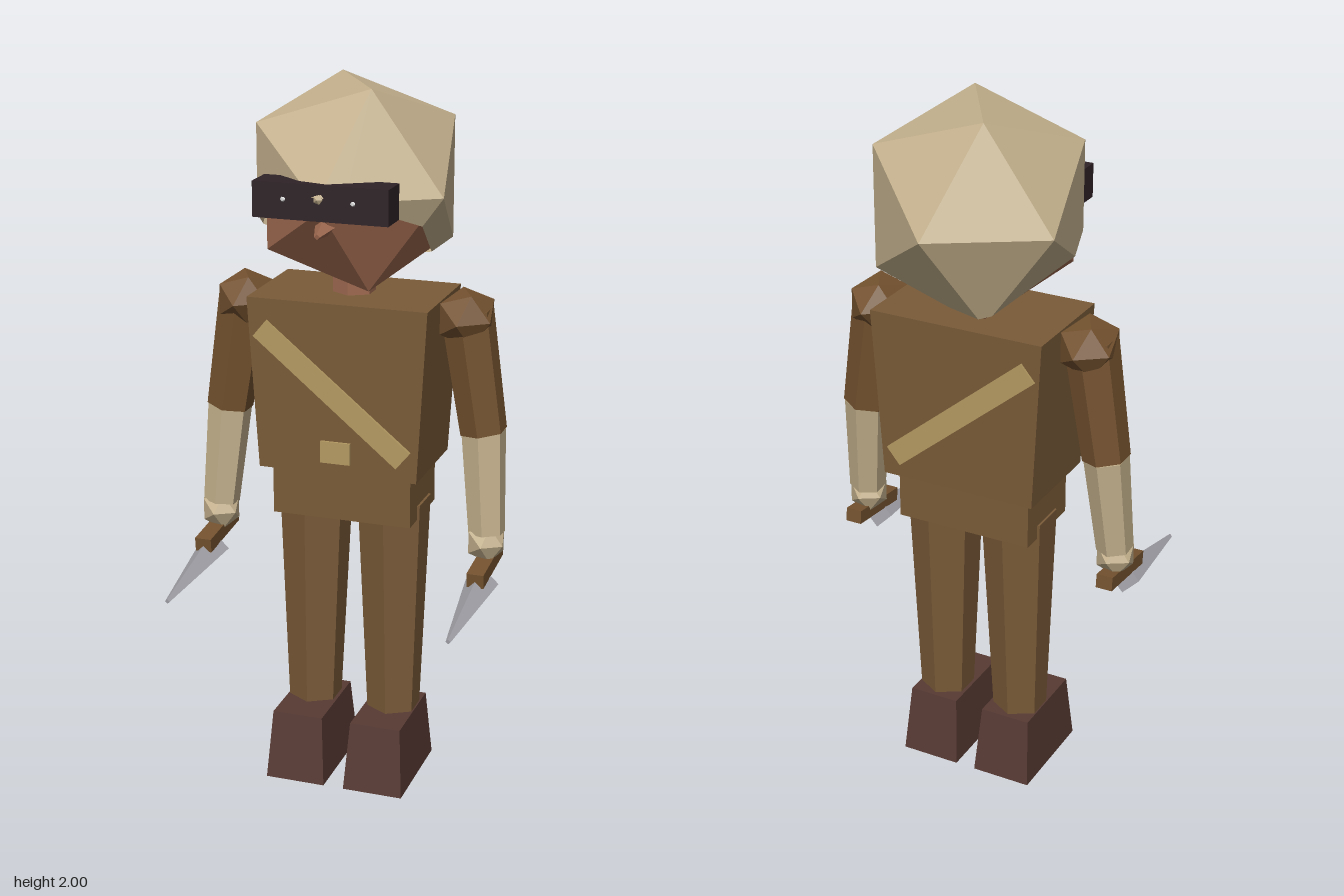
import * as THREE from 'three';

const material = (name, color, side = THREE.FrontSide) => {
  const m = new THREE.MeshStandardMaterial({ color, side, flatShading: true });
  m.name = name;
  return m;
};

// Icosahedron with one vertex on each end of the z axis
const crystal = (r) => new THREE.IcosahedronGeometry(r, 0)
  .rotateX(Math.atan2(2, 1 + Math.sqrt(5))).rotateZ(Math.PI / 2);

// Box whose bottom face is scaled relative to its top
function taperedBox(w, h, d, bottomX, bottomZ) {
  const g = new THREE.BoxGeometry(w, h, d);
  const p = g.attributes.position;
  for (let i = 0; i < p.count; i++) {
    if (p.getY(i) < 0) p.setXYZ(i, p.getX(i) * bottomX, p.getY(i), p.getZ(i) * bottomZ);
  }
  g.computeVertexNormals();
  return g;
}

// Keeps the part of a triangle soup where height(v) is positive
function clipped(geometry, height) {
  const p = geometry.attributes.position, out = [];
  for (let t = 0; t < p.count; t += 3) {
    const poly = [];
    for (let k = 0; k < 3; k++) {
      const a = new THREE.Vector3().fromBufferAttribute(p, t + k);
      const b = new THREE.Vector3().fromBufferAttribute(p, t + (k + 1) % 3);
      const ha = height(a), hb = height(b);
      if (ha >= 0) poly.push(a);
      if (ha * hb < 0) poly.push(a.clone().lerp(b, ha / (ha - hb)));
    }
    for (let k = 2; k < poly.length; k++) {
      for (const v of [poly[0], poly[k - 1], poly[k]]) out.push(v.x, v.y, v.z);
    }
  }
  const g = new THREE.BufferGeometry();
  g.setAttribute('position', new THREE.Float32BufferAttribute(out, 3));
  g.computeVertexNormals();
  return g;
}

export function createModel() {
  const root = new THREE.Group();
  root.name = 'maskedFigure';
  const tunic = material('tunic brown', 0x7a5b38);
  const sleeve = material('sleeve brown', 0x74522f);
  const cloth = material('hood cloth', 0xc3b08c, THREE.DoubleSide);
  const skin = material('skin', 0xa06a50);
  const leather = material('boot leather', 0x573a33);
  const dark = material('mask black', 0x2e2226);
  const gold = material('sash gold', 0xb49a62);
  const steel = material('blade steel', 0xa3a3aa);
  const white = material('eye white', 0xdddddd);

  const add = (name, geometry, mat, x = 0, y = 0, z = 0, parent = root) => {
    const m = new THREE.Mesh(geometry, mat);
    m.name = name;
    m.position.set(x, y, z);
    parent.add(m);
    return m;
  };
  // Straight tapered prism between two points
  const limb = (name, mat, a, b, ra, rb, sides, parent) => {
    const A = new THREE.Vector3(...a), B = new THREE.Vector3(...b);
    const mid = A.clone().add(B).multiplyScalar(0.5);
    const m = add(name, new THREE.CylinderGeometry(ra, rb, A.distanceTo(B), sides), mat, mid.x, mid.y, mid.z, parent);
    m.quaternion.setFromUnitVectors(new THREE.Vector3(0, 1, 0), A.sub(B).normalize());
    return m;
  };

  // Head, with a hood cut open along a slanted plane at the face
  add('head', crystal(0.287), skin, 0, 1.707, -0.045);
  const hood = crystal(0.32).translate(-0.003, 1.728, -0.06);
  add('hood', clipped(hood, (v) => v.y - 1.603 - 0.563 * v.z), cloth);
  limb('nose', skin, [0, 1.645, 0.266], [0, 1.665, 0.17], 0.008, 0.038, 4);
  add('neck', new THREE.CylinderGeometry(0.06, 0.06, 0.14, 6), skin, 0, 1.47, -0.035);

  // Mask with eyes and a centre stud
  add('mask', new THREE.BoxGeometry(0.37, 0.095, 0.09), dark, 0, 1.728, 0.2);
  for (const x of [-0.1, 0.09]) add('eye', new THREE.IcosahedronGeometry(0.008, 0), white, x, 1.733, 0.243);
  add('maskStud', crystal(0.015), cloth, -0.005, 1.738, 0.239);

  // Body
  add('torso', taperedBox(0.51, 0.485, 0.32, 0.89, 0.95), tunic, 0, 1.1875, -0.037);
  add('pelvis', new THREE.BoxGeometry(0.4, 0.15, 0.235), tunic, 0, 0.875, -0.037);
  const sash = add('sash', new THREE.BoxGeometry(0.53, 0.062, 0.328), gold, -0.013, 1.178, -0.037);
  sash.rotation.z = -0.69;
  add('buckle', new THREE.BoxGeometry(0.085, 0.062, 0.009), gold, -0.003, 1.01, 0.119);

  for (const s of [1, -1]) {
    const side = s > 0 ? 'left' : 'right';
    // Arm
    const arm = new THREE.Group();
    arm.name = side + 'Arm';
    root.add(arm);
    add('shoulder', crystal(1), sleeve, s * 0.318, 1.383, -0.038, arm).scale.set(0.086, 0.082, 0.105);
    limb('upperArm', sleeve, [s * 0.32, 1.4, -0.035], [s * 0.373, 1.065, -0.034], 0.074, 0.066, 6, arm);
    limb('forearm', cloth, [s * 0.373, 1.068, -0.034], [s * 0.395, 0.78, -0.008], 0.063, 0.052, 6, arm);
    add('hand', crystal(0.06), cloth, s * 0.395, 0.756, -0.004, arm);
    // Dagger
    add('daggerHandle', new THREE.BoxGeometry(0.048, 0.04, 0.21), sleeve, s * 0.4, 0.698, 0.02, arm).rotation.x = 0.1;
    limb('daggerBlade', steel, [s * 0.4, 0.62, 0.38], [s * 0.4, 0.655, 0.048], 0.007, 0.047, 4, arm);

    // Leg
    const leg = new THREE.Group();
    leg.name = side + 'Leg';
    root.add(leg);
    limb('trouser', tunic, [s * 0.116, 0.84, -0.042], [s * 0.12, 0.19, -0.035], 0.105, 0.077, 6, leg);
    add('boot', taperedBox(0.148, 0.2, 0.255, 1.18, 1.2), leather, s * 0.117, 0.1, 0.002, leg);
  }
  return root;
}
